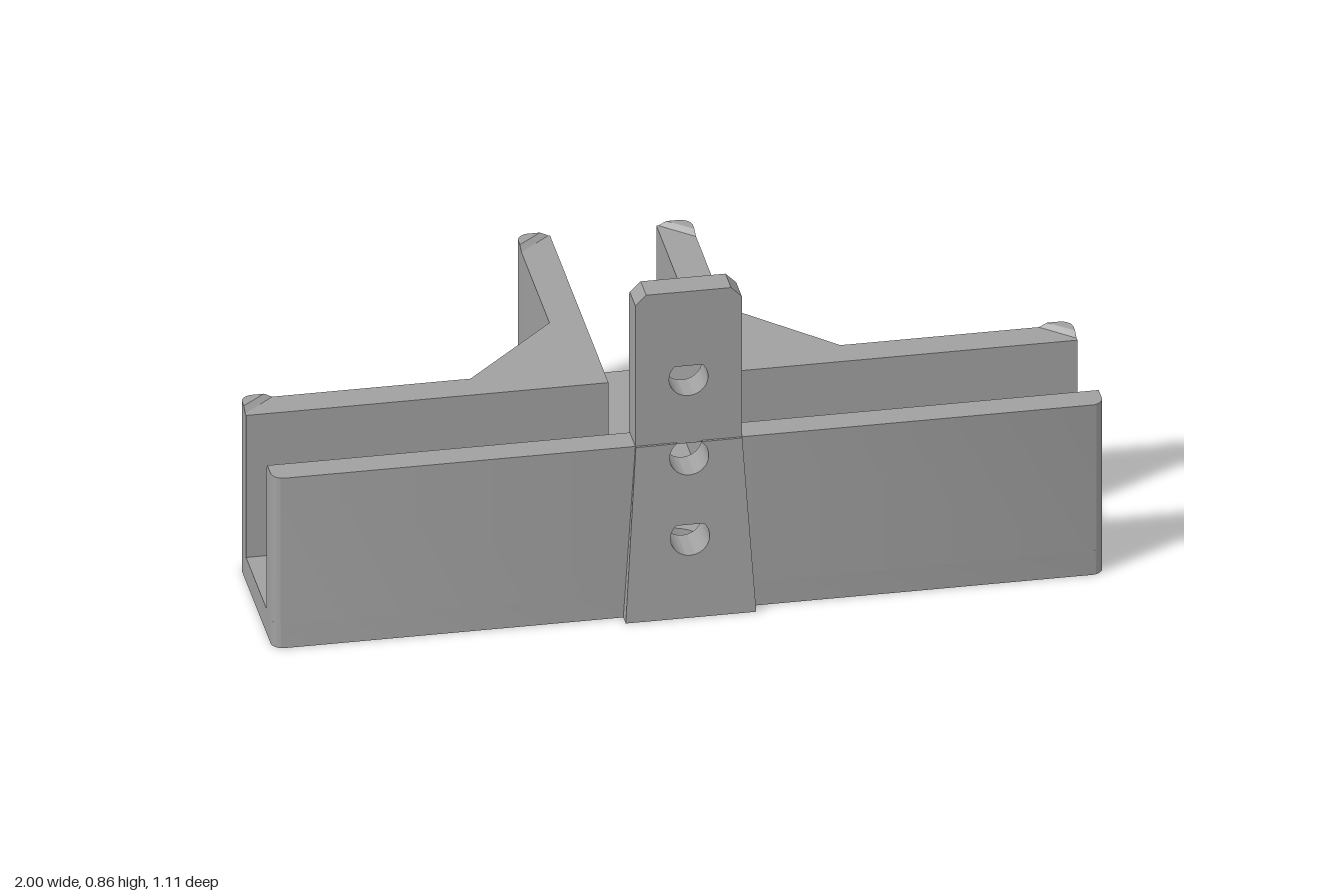
import * as THREE from 'three';
import { toCreasedNormals } from 'three/addons/utils/BufferGeometryUtils.js';

const FLOOR = 0.065, BACK_TOP = 0.447, FRONT_TOP = 0.457;
const Z_FRONT = 0.527, Z_IN = 0.447;          // front wall
const Z_MID = 0.187, Z_BACK = 0.107;          // cross-channel rear wall
const Z_END = -0.555, STEM = 0.21, SLOT = 0.128;
const R = 0.03, HOLE_R = 0.047;

export function createModel() {
  const group = new THREE.Group();
  const grey = new THREE.MeshStandardMaterial({ color: 0xa0a0a0 });
  grey.name = 'grey plastic';

  const add = (name, geo) => {
    const mesh = new THREE.Mesh(toCreasedNormals(geo, 0.5), grey);
    mesh.name = name;
    group.add(mesh);
  };

  // Shape from [x, z, cornerRadius] plan points
  const plan = (pts) => {
    const shape = new THREE.Shape();
    pts.forEach(([x, z, r = 0], i) => {
      const p = new THREE.Vector2(x, -z);
      const toward = (q) => new THREE.Vector2(q[0], -q[1]).sub(p).setLength(r).add(p);
      const a = r ? toward(pts.at(i - 1)) : p;
      if (i === 0) shape.moveTo(a.x, a.y); else shape.lineTo(a.x, a.y);
      if (r) {
        const b = toward(pts[(i + 1) % pts.length]);
        const k = 0.552;
        const c1 = a.clone().lerp(p, k), c2 = b.clone().lerp(p, k);
        shape.bezierCurveTo(c1.x, c1.y, c2.x, c2.y, b.x, b.y);
      }
    });
    return shape;
  };

  // Raise a plan shape from y0 to y1
  const raise = (shape, y0, y1) =>
    new THREE.ExtrudeGeometry(shape, { depth: y1 - y0, bevelEnabled: false, curveSegments: 10 })
      .rotateX(-Math.PI / 2).translate(0, y0, 0);

  // Move vertices by a rule
  const reshape = (geo, rule) => {
    const pos = geo.attributes.position, v = new THREE.Vector3();
    for (let i = 0; i < pos.count; i++) {
      v.fromBufferAttribute(pos, i);
      rule(v);
      pos.setXYZ(i, v.x, v.y, v.z);
    }
    return geo;
  };

  // T-shaped floor with a round hole
  const half = [[1, Z_FRONT, R], [1, Z_BACK, R], [0.445, Z_BACK], [STEM, -0.13], [STEM, Z_END, R]];
  const floor = plan([...half, ...half.map(([x, z, r]) => [-x, z, r]).reverse()]);
  floor.holes.push(new THREE.Path().absarc(0, -0.315, 0.085, 0, Math.PI * 2));
  floor.holes[0].curves[0].aClockwise = false;
  const floorGeo = new THREE.ExtrudeGeometry(floor, { depth: FLOOR, bevelEnabled: false, curveSegments: 20 });
  add('floor', floorGeo.rotateX(-Math.PI / 2));

  for (const s of [1, -1]) {
    const side = s > 0 ? 'left' : 'right';

    // Rear wall, gusset and stem wall in one piece
    add(`${side}RearWall`, raise(plan([
      [s * SLOT, Z_MID], [s, Z_MID], [s, Z_BACK, R], [s * 0.445, Z_BACK],
      [s * STEM, -0.13], [s * STEM, Z_END, R], [s * SLOT, Z_END],
    ]), FLOOR, BACK_TOP));

    // Low raised corners with a sloped diagonal edge
    for (const [cx, cz, dz] of [[s, Z_BACK, 1], [s * STEM, Z_END, 1]]) {
      const a = [cx - s * 0.078, cz], b = [cx, cz + dz * 0.07];
      const geo = raise(plan([a, [cx, cz, R], b]), BACK_TOP, FRONT_TOP);
      add(`${side}CornerNub`, reshape(geo, (v) => {
        if (v.y < FRONT_TOP - 0.001) return;
        if (Math.abs(v.x - a[0]) < 1e-4) v.x += s * 0.02;
        if (Math.abs(v.z - b[1]) < 1e-4) v.z -= dz * 0.02;
      }));
    }

    // Front wall, with a chamfered strip along its inner edge
    add(`${side}FrontWall`, raise(plan([
      [s * SLOT, Z_IN + 0.01], [s, Z_IN + 0.01], [s, Z_FRONT, R], [s * SLOT, Z_FRONT],
    ]), FLOOR, FRONT_TOP));
    const strip = raise(plan([
      [s * SLOT, Z_IN], [s, Z_IN], [s, Z_IN + 0.01], [s * SLOT, Z_IN + 0.01],
    ]), FLOOR, FRONT_TOP);
    add(`${side}FrontWallChamfer`, reshape(strip, (v) => {
      if (v.y > 0.4 && v.z < Z_IN + 0.005) v.y -= 0.01;
    }));
  }

  // Teardrop hole outline
  const teardrop = (y) => {
    const path = new THREE.Path();
    path.moveTo(0, y + HOLE_R * Math.SQRT2);
    path.absarc(0, y, HOLE_R, Math.PI * 0.75, Math.PI * 2.25, false);
    path.closePath();
    return path;
  };

  // Upright tab with three holes, clipped top corners and a chamfered back edge
  const tab = new THREE.Shape([
    [-SLOT, FLOOR], [SLOT, FLOOR], [SLOT, 0.835], [SLOT - 0.026, 0.861],
    [0.026 - SLOT, 0.861], [-SLOT, 0.835],
  ].map(([x, y]) => new THREE.Vector2(x, y)));
  tab.holes.push(...[0.21, 0.42, 0.628].map(teardrop));
  const tabGeo = new THREE.ExtrudeGeometry(tab, {
    depth: Z_FRONT - Z_IN, steps: 8, bevelEnabled: false, curveSegments: 24,
  }).translate(0, 0, Z_IN);
  add('uprightTab', reshape(tabGeo, (v) => {
    if (v.y > 0.8 && v.z < Z_IN + 0.005) v.y -= 0.01;
  }));

  // Tapered rib on the front, notched by the middle hole
  const rib = new THREE.Shape();
  rib.moveTo(-0.157, 0);
  rib.lineTo(0.157, 0);
  rib.lineTo(SLOT, FRONT_TOP);
  rib.lineTo(0.0295, FRONT_TOP);
  rib.absarc(0, 0.42, HOLE_R, Math.PI * 0.25, Math.PI * 0.75, true);
  rib.lineTo(-0.0295, FRONT_TOP);
  rib.lineTo(-SLOT, FRONT_TOP);
  rib.closePath();
  rib.holes.push(teardrop(0.21));
  const ribGeo = new THREE.ExtrudeGeometry(rib, { depth: 0.031, bevelEnabled: false, curveSegments: 24 })
    .translate(0, 0, Z_FRONT);
  add('frontRib', reshape(ribGeo, (v) => {
    if (v.z > Z_FRONT + 0.01) v.z -= 0.025 * v.y / FRONT_TOP;
  }));

  return group;
}
